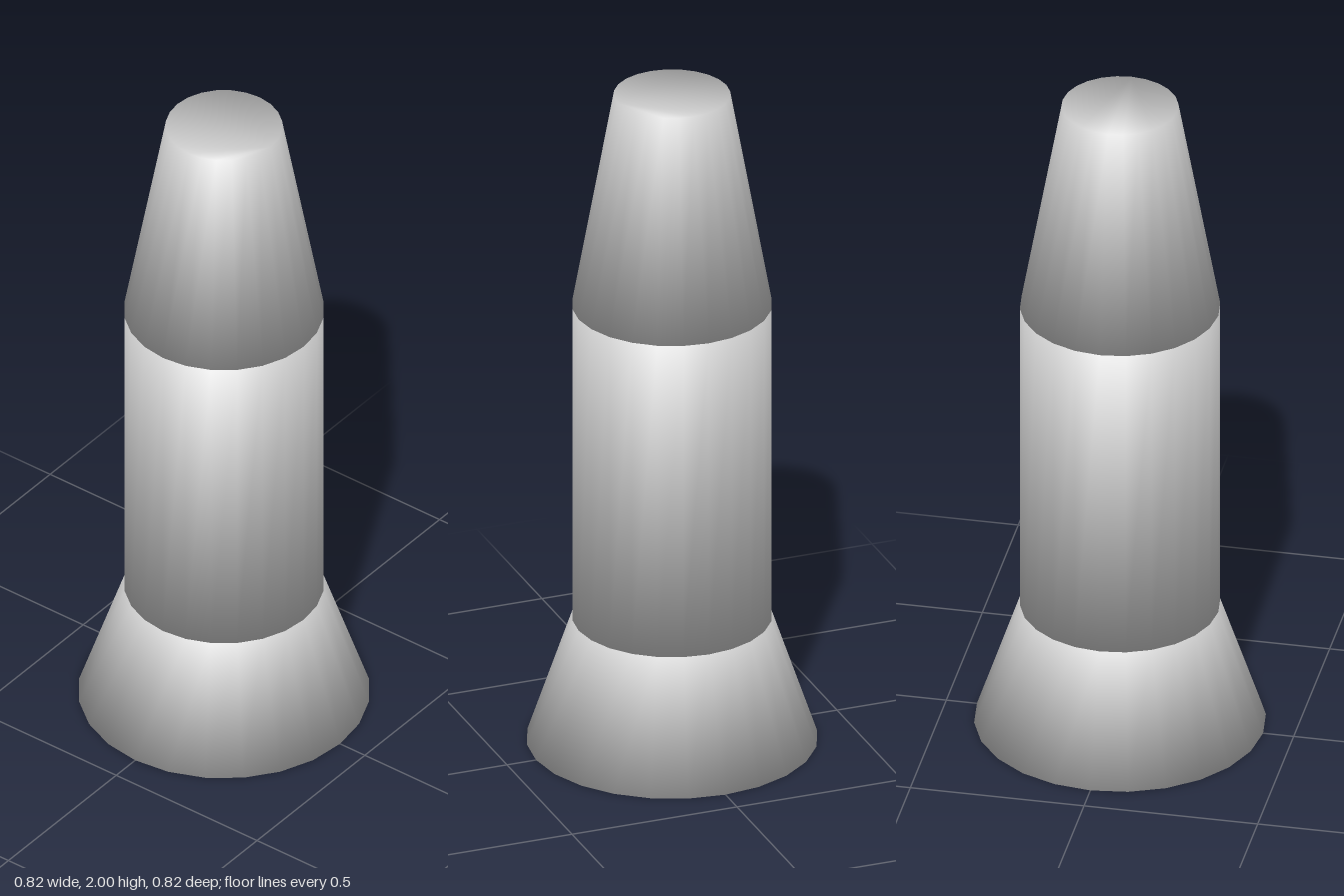
import * as THREE from 'three';

const SIDES = 24;

// Closed frustum whose caps share their rim vertices, and so their smooth normals, with the wall
function frustum(r0, r1, y0, y1) {
  const positions = [], normals = [], index = [];
  const half = Math.PI / SIDES;
  const slope = Math.atan2(r0 - r1, y1 - y0);
  const capAngle = Math.PI - 2 * half;

  // Angle between a rim edge and the slanted edge of a wall panel
  const slant = Math.hypot(r0 - r1, y1 - y0);
  const lean = Math.asin(((r0 - r1) * Math.sin(half)) / slant);

  for (const [r, y, up] of [[r0, y0, -1], [r1, y1, 1]]) {
    // Angle-weighted mean of two wall panels and one cap
    const wall = 2 * (Math.PI / 2 + up * lean);
    const n = new THREE.Vector2(
      wall * Math.cos(slope) * Math.cos(half),
      wall * Math.sin(slope) + up * capAngle
    ).normalize();
    for (let i = 0; i < SIDES; i++) {
      const a = i * 2 * half;
      positions.push(r * Math.sin(a), y, r * Math.cos(a));
      normals.push(n.x * Math.sin(a), n.y, n.x * Math.cos(a));
    }
  }

  // Wall panels
  for (let i = 0; i < SIDES; i++) {
    const j = (i + 1) % SIDES;
    index.push(i, j, SIDES + j, i, SIDES + j, SIDES + i);
  }
  // Bottom and top caps
  for (let i = 1; i < SIDES - 1; i++) {
    index.push(0, i + 1, i);
    index.push(SIDES, SIDES + i, SIDES + i + 1);
  }

  const geometry = new THREE.BufferGeometry();
  geometry.setAttribute('position', new THREE.Float32BufferAttribute(positions, 3));
  geometry.setAttribute('normal', new THREE.Float32BufferAttribute(normals, 3));
  geometry.setIndex(index);
  return geometry;
}

export function createModel() {
  const model = new THREE.Group();
  model.name = 'stackedColumn';

  const grey = new THREE.MeshStandardMaterial({ color: 0xcccccc });
  grey.name = 'light grey';

  // Name, lower radius, upper radius, lower height, upper height
  const parts = [
    ['flaredBase', 0.412, 0.283, 0, 0.38],
    ['body', 0.283, 0.283, 0.38, 1.347],
    ['taperedTop', 0.283, 0.165, 1.347, 2],
  ];
  for (const [name, ...size] of parts) {
    const mesh = new THREE.Mesh(frustum(...size), grey);
    mesh.name = name;
    model.add(mesh);
  }
  return model;
}
